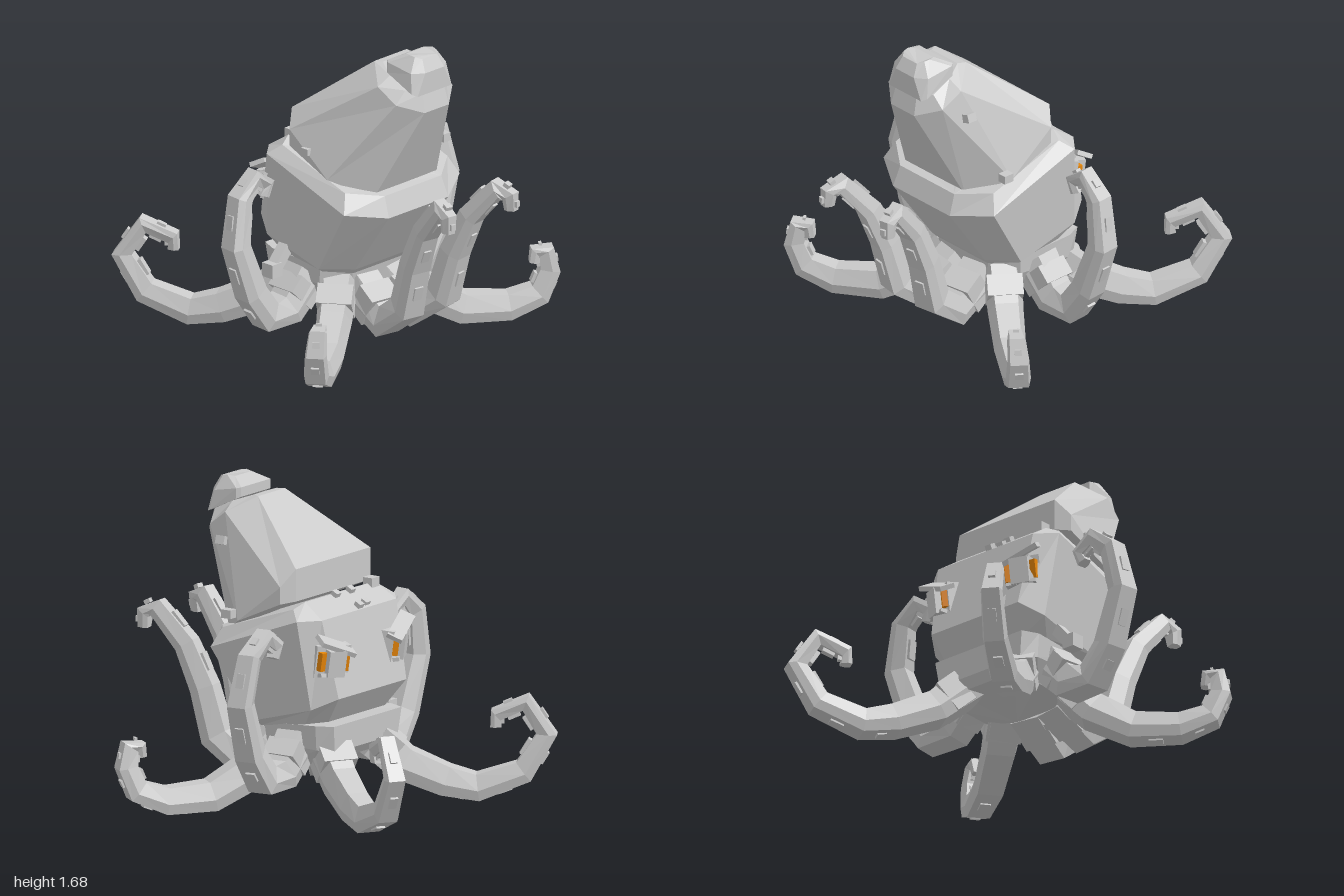
import * as THREE from 'three';

const grey = new THREE.MeshStandardMaterial({ color: 0xcacaca });
grey.name = 'hull grey';
const orange = new THREE.MeshStandardMaterial({ color: 0xf08c0a });
orange.name = 'eye orange';

// Flat-faced skin over a stack of rings, capped at both ends.
function loft(rings) {
  const pos = [];
  const tri = (a, b, c) => {
    const n = b.clone().sub(a).cross(c.clone().sub(a));
    if (n.length() > 1e-8) for (const p of [a, b, c]) pos.push(p.x, p.y, p.z);
  };
  const n = rings[0].length;
  for (let r = 0; r < rings.length - 1; r++) {
    const a = rings[r], b = rings[r + 1];
    for (let i = 0; i < n; i++) {
      const j = (i + 1) % n;
      tri(a[i], a[j], b[j]);
      tri(a[i], b[j], b[i]);
    }
  }
  const bottom = rings[0], top = rings[rings.length - 1];
  for (let i = 1; i < n - 1; i++) {
    tri(bottom[0], bottom[i + 1], bottom[i]);
    tri(top[0], top[i], top[i + 1]);
  }
  const geo = new THREE.BufferGeometry();
  geo.setAttribute('position', new THREE.Float32BufferAttribute(pos, 3));
  geo.computeVertexNormals();
  return geo;
}

// Eight-sided ring from its +x half, listed front to back.
function ring(...half) {
  const right = half.map(p => new THREE.Vector3(...p));
  const left = half.map(p => new THREE.Vector3(-p[0], p[1], p[2])).reverse();
  return [...right, ...left];
}

function add(parent, name, geo, material = grey) {
  const mesh = new THREE.Mesh(geo, material);
  mesh.name = name;
  parent.add(mesh);
  return mesh;
}

function block(parent, name, size, at, rot = [0, 0, 0], material = grey) {
  const mesh = add(parent, name, new THREE.BoxGeometry(...size), material);
  mesh.position.set(...at);
  mesh.rotation.set(...rot);
  return mesh;
}

// Arm: a tapering faceted tube along a path, with pads on its faces.
const SECTION = [[0.8, -0.95], [1, -0.2], [0.65, 0.9], [-0.65, 0.9], [-1, -0.2], [-0.8, -0.95]];
function arm(name, path, side, rBase, rTip) {
  const g = new THREE.Group();
  g.name = name;
  const pts = path.map(p => new THREE.Vector3(p[0] * side, p[1], p[2]));
  const last = pts.length - 1;
  const run = pts[last - 2].clone().sub(pts[0]).setY(0).normalize();
  const S = new THREE.Vector3(0, 1, 0).cross(run).normalize();
  const radius = i => rBase + (rTip - rBase) * Math.pow(i / last, 0.95);
  const rings = pts.map((p, i) => {
    const T = pts[Math.min(i + 1, last)].clone().sub(pts[Math.max(i - 1, 0)]).normalize();
    const N = T.clone().cross(S).normalize();
    const r = radius(i);
    return SECTION.map(([s, n]) => p.clone().addScaledVector(S, s * r).addScaledVector(N, n * r));
  });
  add(g, name + 'Limb', loft(rings));
  // root collar, small pads under the limb and grips inside the curl
  for (let i = 0; i < last; i++) {
    const T = pts[i + 1].clone().sub(pts[i]);
    const len = T.length();
    T.normalize();
    const N = T.clone().cross(S).normalize();
    const r = (radius(i) + radius(i + 1)) / 2;
    const mid = pts[i].clone().lerp(pts[i + 1], 0.5);
    const place = (part, w, h, d, off) => {
      const m = add(g, part, new THREE.BoxGeometry(w, h, d));
      m.quaternion.setFromRotationMatrix(new THREE.Matrix4().makeBasis(S, N, T));
      m.position.copy(mid).addScaledVector(N, off);
    };
    if (i === 0) place('rootCollar', r * 1.9, r * 1.85, len * 0.5, 0);
    else if (i > 1 && i < last - 1) place('underPad', r * 0.7, 0.014, len * 0.3, -r * 0.95);
    if (i >= last - 4) place('grip', r * 0.8, 0.022, len * 0.4, r * 0.93);
  }
  return g;
}

const ARMS = {
  frontArm: [[0.09, 0.33, 0.2], [0.115, 0.2, 0.41], [0.135, 0.31, 0.56], [0.15, 0.56, 0.63],
    [0.17, 0.78, 0.73], [0.21, 0.965, 0.89], [0.23, 0.93, 0.96], [0.235, 0.85, 0.96]],
  forwardSideArm: [[0.2, 0.36, 0.14], [0.33, 0.2, 0.23], [0.5, 0.09, 0.35], [0.7, 0.08, 0.49],
    [0.825, 0.14, 0.585], [0.865, 0.265, 0.62], [0.845, 0.37, 0.615], [0.805, 0.365, 0.585], [0.795, 0.31, 0.585]],
  sideArm: [[0.28, 0.39, -0.03], [0.42, 0.24, -0.03], [0.56, 0.23, -0.03], [0.67, 0.38, -0.03],
    [0.77, 0.66, -0.04], [0.72, 0.9, -0.06], [0.61, 0.99, -0.07], [0.52, 0.93, -0.075], [0.545, 0.87, -0.075]],
  backArm: [[0.18, 0.37, -0.16], [0.28, 0.21, -0.32], [0.4, 0.12, -0.5], [0.49, 0.085, -0.64],
    [0.615, 0.17, -0.84], [0.68, 0.365, -0.94], [0.62, 0.53, -0.85], [0.53, 0.465, -0.725], [0.53, 0.4, -0.725]],
};

// Eye housing wrapped round the rear corner, outward along its own -z.
function eye(side) {
  const g = new THREE.Group();
  g.name = side > 0 ? 'leftEye' : 'rightEye';
  block(g, 'eyeSocket', [0.2, 0.17, 0.08], [0, -0.015, 0.04]);
  block(g, 'eyeCentre', [0.1, 0.14, 0.07], [0, -0.015, -0.02]);
  for (const s of [-1, 1])
    block(g, 'eyeLight', [0.035, 0.1, 0.03], [s * 0.07, -0.01, -0.01], [0, s * 0.3, 0], orange);
  block(g, 'eyeLid', [0.23, 0.025, 0.085], [0, 0.075, -0.015], [-0.3, 0, side * 0.35]);
  block(g, 'lowerLid', [0.16, 0.02, 0.06], [0, -0.085, -0.01], [0.3, 0, 0]);
  g.position.set(side * 0.28, 0.845, -0.27);
  g.rotation.set(-0.15, -side * 0.45, 0);
  return g;
}

export function createModel() {
  const model = new THREE.Group();
  model.name = 'octopusMachine';

  // hub joining the arms
  add(model, 'hub', loft([
    ring([0.13, 0.25, 0.15], [0.26, 0.25, 0.06], [0.26, 0.26, -0.12], [0.2, 0.3, -0.24]),
    ring([0.18, 0.36, 0.22], [0.32, 0.37, 0.12], [0.33, 0.36, -0.2], [0.28, 0.35, -0.28]),
    ring([0.2, 0.45, 0.24], [0.33, 0.47, 0.13], [0.34, 0.49, -0.2], [0.3, 0.49, -0.29]),
  ]));

  // face block
  add(model, 'head', loft([
    ring([0.2, 0.43, 0.245], [0.33, 0.45, 0.15], [0.33, 0.49, -0.13], [0.25, 0.5, -0.22]),
    ring([0.21, 0.46, 0.27], [0.38, 0.48, 0.17], [0.38, 0.58, -0.2], [0.3, 0.64, -0.32]),
    ring([0.22, 0.81, 0.52], [0.43, 0.85, 0.4], [0.435, 1.05, -0.15], [0.33, 1.05, -0.235]),
    ring([0.21, 0.92, 0.48], [0.38, 0.95, 0.36], [0.38, 1.1, -0.09], [0.31, 1.13, -0.115]),
  ]));

  // tapering shell leaning forward over the head
  add(model, 'mantle', loft([
    ring([0.23, 0.9, 0.42], [0.4, 1.0, 0.25], [0.4, 1.12, -0.02], [0.33, 1.13, -0.07]),
    ring([0.23, 0.9, 0.42], [0.4, 1.0, 0.25], [0.4, 1.21, -0.02], [0.33, 1.3, -0.07]),
    ring([0.09, 1.39, 0.65], [0.21, 1.44, 0.56], [0.23, 1.52, 0.45], [0.12, 1.6, 0.32]),
    ring([0.08, 1.49, 0.625], [0.15, 1.51, 0.57], [0.15, 1.565, 0.46], [0.1, 1.6, 0.36]),
  ]));
  add(model, 'mantleCap', loft([
    ring([0.125, 1.485, 0.635], [0.145, 1.495, 0.61], [0.15, 1.575, 0.44], [0.13, 1.585, 0.42]),
    ring([0.07, 1.6, 0.635], [0.13, 1.6, 0.59], [0.145, 1.63, 0.44], [0.13, 1.635, 0.42]),
    ring([0.055, 1.665, 0.6], [0.08, 1.675, 0.57], [0.085, 1.68, 0.54], [0.07, 1.675, 0.5]),
  ]));

  for (const side of [1, -1]) {
    const label = side > 0 ? 'left' : 'right';
    for (const [name, path] of Object.entries(ARMS))
      model.add(arm(label + name[0].toUpperCase() + name.slice(1), path, side, 0.103, 0.031));
    model.add(eye(side));
  }

  // small fittings on the shell and head
  block(model, 'shellStud', [0.05, 0.045, 0.055], [0.275, 1.38, 0.435], [0, 0, 0.3]);
  block(model, 'shellStud', [0.05, 0.045, 0.06], [0.41, 1.035, 0.3]);
  block(model, 'shellStud', [0.04, 0.035, 0.05], [-0.395, 1.12, 0.1]);
  block(model, 'headBox', [0.065, 0.06, 0.06], [-0.275, 1.13, -0.115]);
  for (const [x, y, z] of [[-0.09, 1.07, -0.21], [-0.02, 1.07, -0.22], [-0.07, 1.13, -0.13], [0.06, 1.13, -0.13]])
    block(model, 'headNub', [0.04, 0.03, 0.035], [x, y, z], [-0.5, 0, 0]);

  // side vent on a short strut
  block(model, 'ventStrut', [0.14, 0.06, 0.06], [-0.41, 0.49, -0.08], [0, 0, 0.85]);
  block(model, 'vent', [0.075, 0.075, 0.075], [-0.465, 0.44, -0.08]);
  return model;
}
